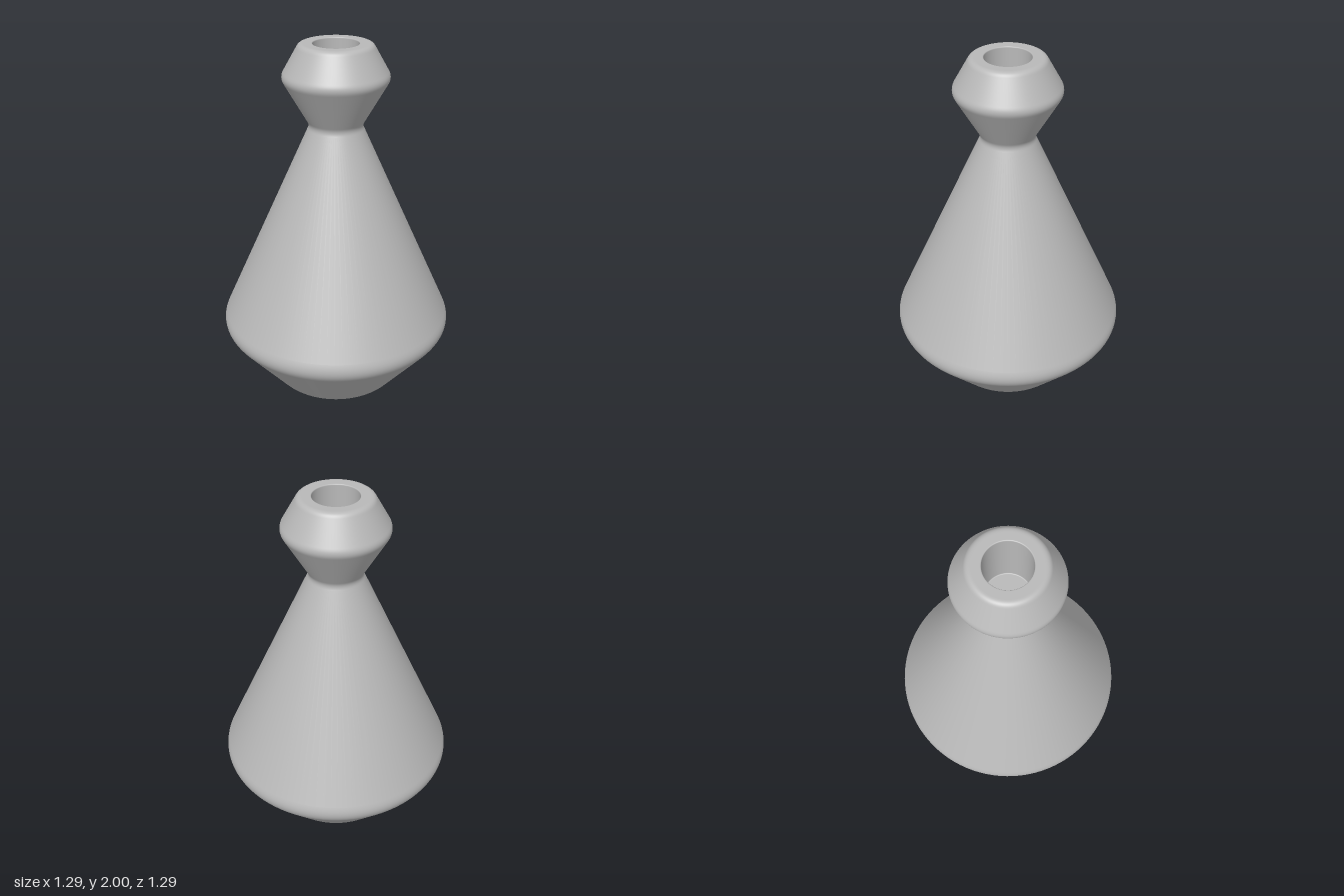
import * as THREE from 'three';

// Profile corners from the base up the outside and down into the mouth: [radius, height, rounding]
const CORNERS = [
  [0, 0, 0],
  [0.335, 0.012, 0.055],
  [0.659, 0.405, 0.06],
  [0.141, 1.567, 0.022],
  [0.29, 1.826, 0.03],
  [0.192, 2, 0.022],
  [0.121, 2, 0.006],
  [0.121, 1.65, 0.006],
  [0, 1.65, 0],
];

// Replaces each corner by a short curve; guard points keep the straight flanks evenly shaded
function roundedProfile(corners) {
  const points = corners.map(([r, y]) => new THREE.Vector2(r, y));
  const out = [points[0]];
  for (let i = 1; i < points.length - 1; i++) {
    const p = points[i];
    const size = corners[i][2];
    const toward = (q, d) => p.clone().add(q.clone().sub(p).setLength(d));
    const a = points[i - 1];
    const b = points[i + 1];
    out.push(toward(a, size * 1.15));
    out.push(...new THREE.QuadraticBezierCurve(toward(a, size), p, toward(b, size)).getPoints(8));
    out.push(toward(b, size * 1.15));
  }
  out.push(points[points.length - 1]);
  return out;
}

export function createModel() {
  const group = new THREE.Group();
  group.name = 'vase';

  const greyCeramic = new THREE.MeshStandardMaterial({ color: 0xb8b8b8 });
  greyCeramic.name = 'grey ceramic';

  // Turned body with waisted neck and open mouth
  const body = new THREE.Mesh(new THREE.LatheGeometry(roundedProfile(CORNERS), 96), greyCeramic);
  body.name = 'vaseBody';
  group.add(body);

  return group;
}
